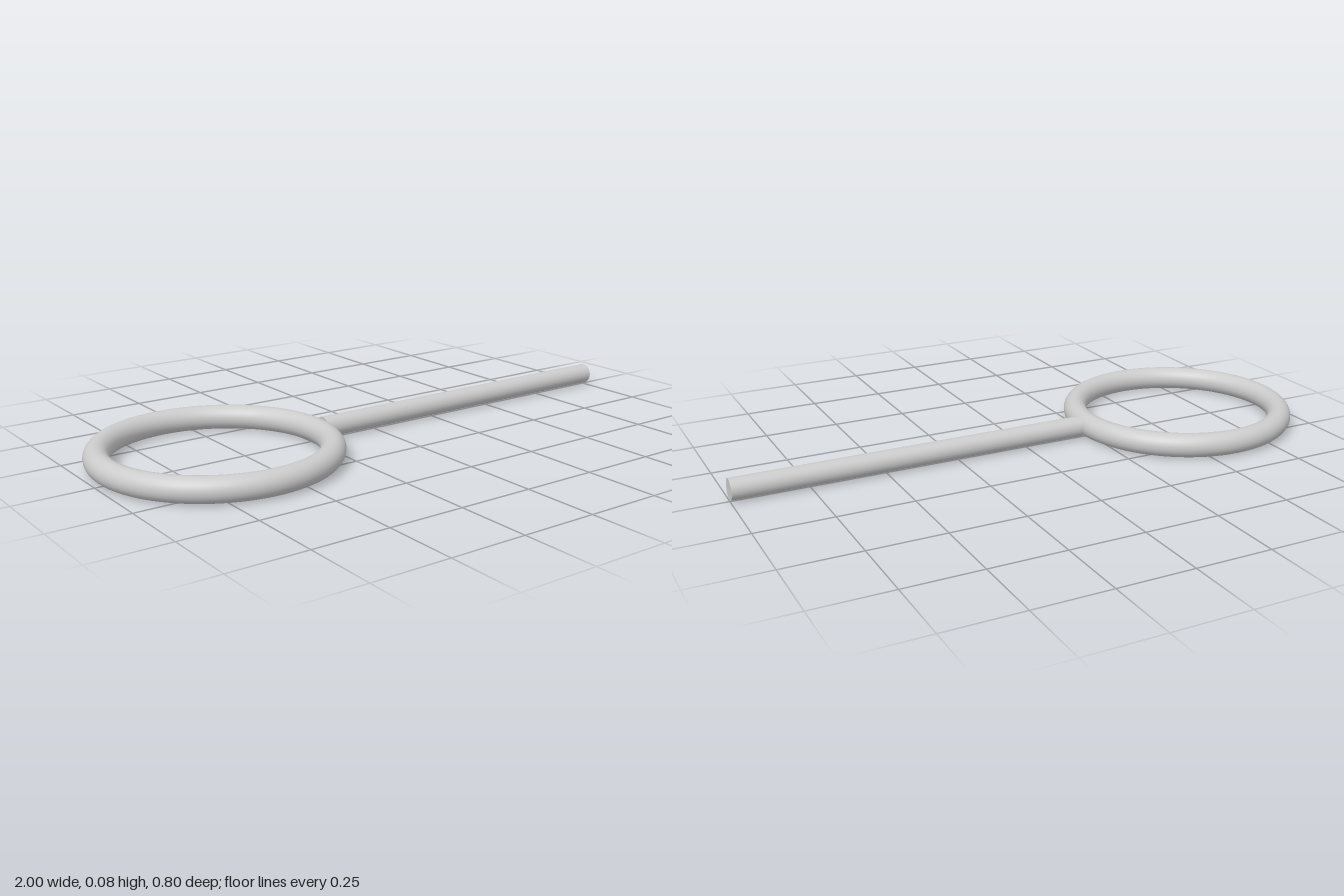
import * as THREE from 'three';

export function createModel() {
  const group = new THREE.Group();
  const material = new THREE.MeshStandardMaterial({ color: 0xcccccc });
  const tubeRadius = 0.04;

  // Round hoop lying flat
  const hoop = new THREE.Mesh(new THREE.TorusGeometry(0.36, tubeRadius, 32, 100), material);
  hoop.name = 'hoop';
  hoop.rotation.x = -Math.PI / 2;
  hoop.position.set(-0.6, tubeRadius, 0);
  group.add(hoop);

  // Straight handle, starting at the hoop's outer edge
  const start = -0.205, end = 1;
  const handle = new THREE.Mesh(new THREE.CylinderGeometry(0.035, 0.035, end - start, 32), material);
  handle.name = 'handle';
  handle.rotation.z = -Math.PI / 2;
  handle.position.set((start + end) / 2, tubeRadius, 0);
  group.add(handle);

  return group;
}
